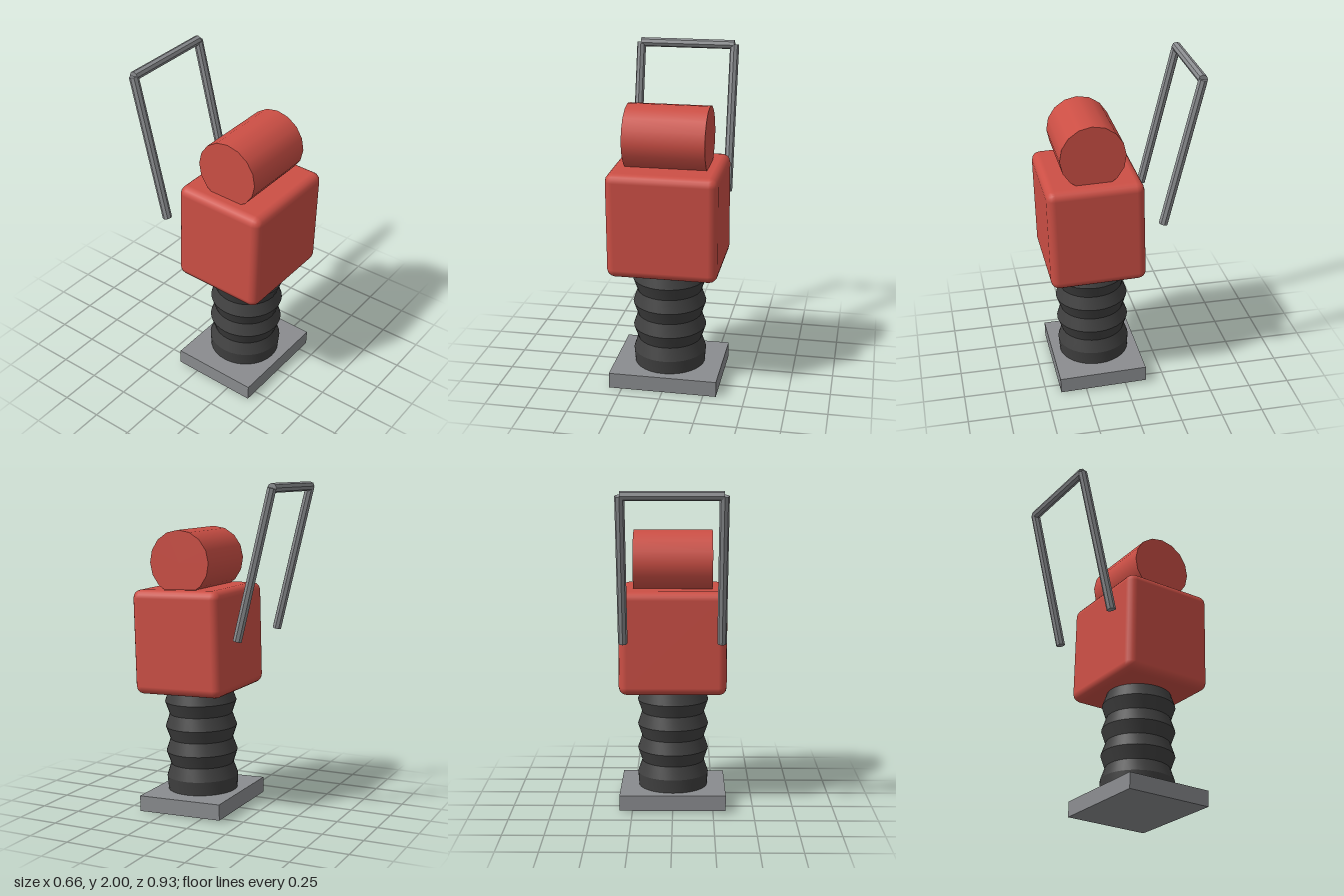
import * as THREE from 'three';
import { toCreasedNormals } from 'three/addons/utils/BufferGeometryUtils.js';
import { RoundedBoxGeometry } from 'three/addons/geometries/RoundedBoxGeometry.js';

function paint(name, color, flatShading = false) {
  const m = new THREE.MeshStandardMaterial({ color, flatShading });
  m.name = name;
  return m;
}

export function createModel() {
  const red = paint('red paint', 0xcc4f45);
  const rubber = paint('dark rubber', 0x404040);
  const steel = paint('grey steel', 0x8a8c8f, true);

  const model = new THREE.Group();
  model.name = 'tampingRammer';

  const add = (parent, name, geometry, material, x = 0, y = 0, z = 0) => {
    const mesh = new THREE.Mesh(geometry, material);
    mesh.name = name;
    mesh.position.set(x, y, z);
    parent.add(mesh);
    return mesh;
  };

  // The machine leans slightly forward as one piece
  const machine = new THREE.Group();
  machine.name = 'machine';
  machine.position.set(0, 0.008, 0.14);
  machine.rotation.x = 0.028;
  model.add(machine);

  // Foot plate
  add(machine, 'footPlate', new THREE.BoxGeometry(0.656, 0.096, 0.538), steel, 0, 0.048, 0);

  // Bellows: alternating ridges and valleys
  const profile = [new THREE.Vector2(0.215, 0.09)];
  for (let i = 0; i < 8; i++) {
    profile.push(new THREE.Vector2(i % 2 ? 0.195 : 0.222, 0.18 + i * 0.0785));
  }
  add(machine, 'bellows', toCreasedNormals(new THREE.LatheGeometry(profile, 32), 0.35), rubber);

  // Engine housing with rounded edges
  add(machine, 'housing', new RoundedBoxGeometry(0.656, 0.634, 0.574, 2, 0.05), red, 0, 1.045, -0.003);

  // Fuel tank lying across the housing
  const tank = new THREE.CylinderGeometry(0.194, 0.194, 0.484, 16).rotateZ(Math.PI / 2);
  add(machine, 'fuelTank', tank, red, 0, 1.52, -0.005);

  // Handle: two leaning uprights joined by a crossbar
  const handle = new THREE.Group();
  handle.name = 'handle';
  model.add(handle);
  const radius = 0.028;
  const bottom = new THREE.Vector2(-0.227, 1.095);
  const top = new THREE.Vector2(-0.437, 1.972);
  const length = bottom.distanceTo(top);
  const lean = Math.atan2(top.x - bottom.x, top.y - bottom.y);
  const middle = bottom.clone().lerp(top, 0.5);
  for (const side of [-1, 1]) {
    const upright = add(handle, side > 0 ? 'leftUpright' : 'rightUpright',
      new THREE.CylinderGeometry(radius, radius, length, 8), steel, side * 0.292, middle.y, middle.x);
    upright.rotation.x = lean;
  }
  const bar = new THREE.CylinderGeometry(radius, radius, 0.584, 8).rotateZ(Math.PI / 2);
  add(handle, 'crossbar', bar, steel, 0, top.y, top.x);

  return model;
}
